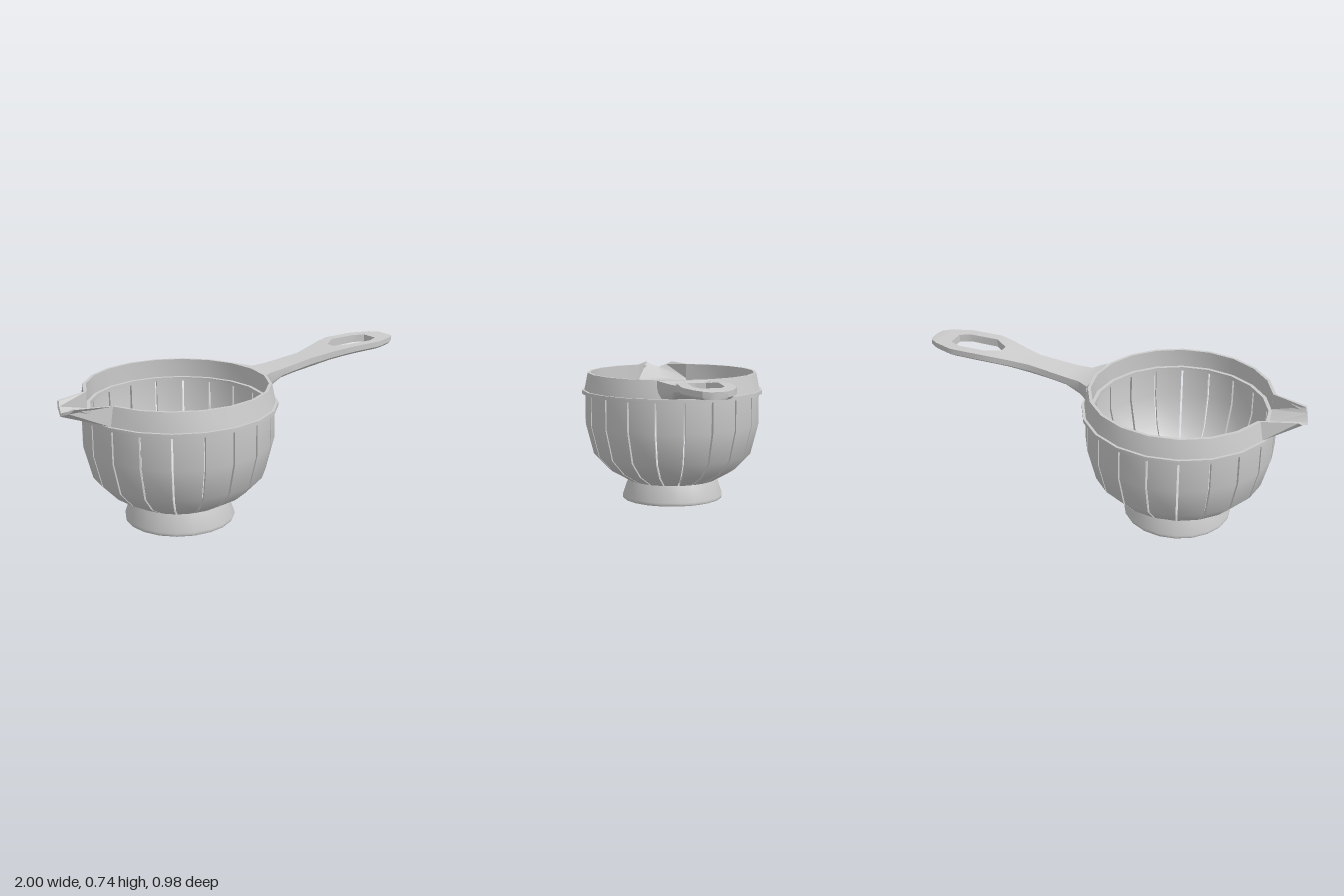
import * as THREE from 'three';
import { mergeGeometries, toCreasedNormals } from 'three/addons/utils/BufferGeometryUtils.js';

const SIDES = 20;
const STEP = (Math.PI * 2) / SIDES;
const BOWL_X = -0.37;

const material = new THREE.MeshStandardMaterial({ color: 0xcccccc });
const thinMaterial = new THREE.MeshStandardMaterial({ color: 0xcccccc, side: THREE.DoubleSide });

const vec2 = (points) => points.map(([x, y]) => new THREE.Vector2(x, y));

// Turned part with crisp profile corners and smooth sides
function turned(name, points, segments = SIDES, start = 0) {
  const lathe = new THREE.LatheGeometry(vec2(points), segments, start, segments * STEP);
  const mesh = new THREE.Mesh(toCreasedNormals(lathe, 0.5), material);
  mesh.name = name;
  mesh.position.x = BOWL_X;
  return mesh;
}

// Triangles joining a row of closed cross-sections
function loft(sections) {
  const out = [];
  for (let i = 0; i < sections.length - 1; i++) {
    const s = sections[i], t = sections[i + 1];
    for (let j = 0; j < s.length; j++) {
      const k = (j + 1) % s.length;
      out.push(...s[j], ...s[k], ...t[j], ...s[k], ...t[k], ...t[j]);
    }
  }
  return out;
}

function loftMesh(name, positions, mat) {
  const geometry = new THREE.BufferGeometry();
  geometry.setAttribute('position', new THREE.Float32BufferAttribute(positions, 3));
  const mesh = new THREE.Mesh(toCreasedNormals(geometry, 0.55), mat);
  mesh.name = name;
  return mesh;
}

// One wall panel between two slots
function panelGeometry() {
  const halfSlot = 0.005;
  const outer = [[0.245, 0.105], [0.35, 0.165], [0.43, 0.25], [0.472, 0.415], [0.472, 0.58]];
  const inner = [[0.454, 0.58], [0.454, 0.418], [0.414, 0.26], [0.338, 0.18], [0.235, 0.121]];
  const parts = [outer, inner].map((profile) => {
    const g = new THREE.LatheGeometry(vec2(profile), 1, 0, STEP);
    const p = g.attributes.position;
    for (let i = 0; i < p.count; i++) {
      const first = i < profile.length;
      const phi = first ? 0 : STEP;
      const d = first ? halfSlot : -halfSlot;
      p.setX(i, p.getX(i) + d * Math.cos(phi));
      p.setZ(i, p.getZ(i) - d * Math.sin(phi));
    }
    return g;
  });
  // Slot faces through the wall thickness
  const section = new THREE.Shape(vec2([...outer, ...inner]));
  for (const [phi, offset] of [[0, -halfSlot], [STEP, halfSlot]]) {
    parts.push(new THREE.ShapeGeometry(section).translate(0, 0, offset).rotateY(phi - Math.PI / 2));
  }
  return mergeGeometries(parts);
}

function slottedBowl() {
  const bowl = new THREE.Group();
  bowl.name = 'slottedBowl';
  const geometry = panelGeometry();
  for (let i = 0; i < SIDES; i++) {
    const panel = new THREE.Mesh(geometry, thinMaterial);
    panel.name = 'bowlPanel';
    panel.rotation.y = i * STEP;
    bowl.add(panel);
  }
  bowl.position.x = BOWL_X;
  return bowl;
}

// Handle: two mirrored halves that part around the hanging hole
function handle() {
  // x, hole half width, half width, underside half width, top, underside
  const stations = [
    [0.075, 0, 0.135, 0.125, 0.688, 0.597],
    [0.14, 0, 0.08, 0.07, 0.676, 0.602],
    [0.22, 0, 0.072, 0.055, 0.681, 0.63],
    [0.30, 0, 0.068, 0.052, 0.69, 0.642],
    [0.42, 0, 0.062, 0.05, 0.704, 0.655],
    [0.53, 0, 0.087, 0.072, 0.722, 0.678],
    [0.60, 0, 0.106, 0.09, 0.733, 0.69],
    [0.60, 0.024, 0.106, 0.09, 0.733, 0.69],
    [0.67, 0.07, 0.12, 0.106, 0.741, 0.699],
    [0.82, 0.07, 0.12, 0.106, 0.741, 0.701],
    [0.85, 0.057, 0.118, 0.104, 0.741, 0.702],
    [0.88, 0.043, 0.108, 0.095, 0.741, 0.702],
    [0.88, 0, 0.108, 0.095, 0.741, 0.702],
    [0.95, 0, 0.084, 0.072, 0.741, 0.703],
    [0.99, 0, 0.055, 0.045, 0.74, 0.704],
    [1.0, 0, 0.025, 0.02, 0.738, 0.706],
    [1.0, 0, 0, 0, 0.738, 0.706],
  ];
  const half = stations.map(([x, h, w, u, top, bottom]) => [
    [x, top, h], [x, top, w], [x, bottom + (top - bottom) * 0.3, w], [x, bottom, u], [x, bottom, h],
  ]);
  const mirrored = half.map((s) => s.map(([x, y, z]) => [x, y, -z]).reverse());
  return loftMesh('handle', [...loft(half), ...loft(mirrored)], material);
}

// Pouring spout: a thin open channel filling the gap in the rim
function spout() {
  const onRing = (r, y, turn) => [BOWL_X - r * Math.cos(turn), y, r * Math.sin(turn)];
  const root = (rTop, rLow, yLow) => [
    onRing(rTop, 0.69, -STEP), onRing(rLow, yLow, -STEP), onRing(rLow, yLow, 0),
    onRing(rLow, yLow, STEP), onRing(rTop, 0.69, STEP),
  ];
  const tip = (top, side, low) => [
    [top[0], top[1], -top[2]], [side[0], side[1], -side[2]], low, side, top,
  ];
  const rootOuter = root(0.458, 0.477, 0.597);
  const rootInner = root(0.443, 0.445, 0.607);
  const tipOuter = tip([-0.97, 0.69, 0.088], [-0.984, 0.664, 0.055], [-1, 0.641, 0]);
  const tipInner = tip([-0.968, 0.69, 0.073], [-0.981, 0.674, 0.045], [-0.996, 0.656, 0]);
  const ring = (a, b) => [...a, ...[...b].reverse()];
  // Closing lip at the tip
  const lip = tipOuter.map((p, i) => p.map((v, k) => (v + tipInner[i][k]) / 2));
  return loftMesh('spout', loft([
    ring(rootOuter, rootInner), ring(tipOuter, tipInner), ring(lip, lip),
  ]), thinMaterial);
}

export function createModel() {
  const model = new THREE.Group();
  model.name = 'strainer';

  model.add(
    // Solid foot with the bowl floor on top
    turned('foot', [
      [0, 0], [0.272, 0], [0.275, 0.006], [0.275, 0.018], [0.245, 0.105], [0.24, 0.121], [0, 0.121],
    ]),
    slottedBowl(),
    // Flange with an inner ledge
    turned('flange', [
      [0.427, 0.577], [0.49, 0.577], [0.49, 0.597], [0.46, 0.597], [0.427, 0.597], [0.427, 0.577],
    ]),
    // Upper rim, open where the spout sits
    turned('rim', [
      [0.477, 0.597], [0.458, 0.69], [0.443, 0.69], [0.445, 0.597],
    ], SIDES - 2, Math.PI * 1.5 + STEP),
    spout(),
    handle(),
  );
  return model;
}
